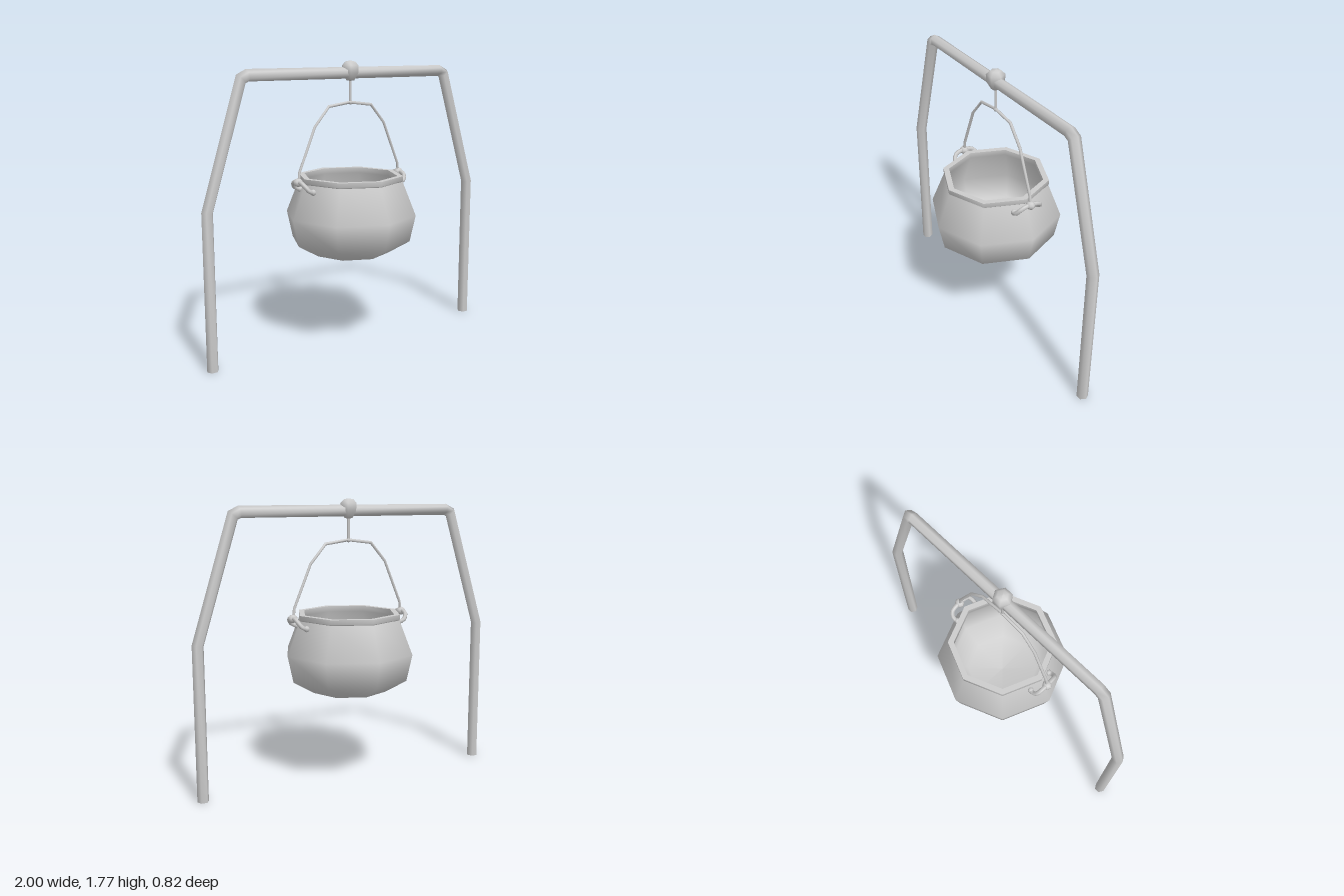
import * as THREE from 'three';

const material = new THREE.MeshStandardMaterial({ color: 0xcccccc, side: THREE.DoubleSide });

function add(parent, name, geometry) {
  const mesh = new THREE.Mesh(geometry, material);
  mesh.name = name;
  parent.add(mesh);
  return mesh;
}

const lathe = (profile, sides, start = 0) =>
  new THREE.LatheGeometry(profile.map(([r, y]) => new THREE.Vector2(r, y)), sides, start);

// Sweep a regular polygon along a path in the xy plane, mitred at each bend
function bentBar(path, radius, sides) {
  const pts = path.map(([x, y]) => new THREE.Vector2(x, y));
  const positions = [], index = [];
  pts.forEach((p, i) => {
    const into = p.clone().sub(pts[Math.max(i - 1, 0)]).normalize();
    const out = pts[Math.min(i + 1, pts.length - 1)].clone().sub(p).normalize();
    const t = into.clone().add(out).normalize();
    const miter = radius / t.dot(i ? into : out);
    for (let j = 0; j < sides; j++) {
      const a = (j / sides) * Math.PI * 2;
      const c = Math.cos(a) * miter;
      positions.push(p.x - t.y * c, p.y + t.x * c, Math.sin(a) * radius);
      if (i < pts.length - 1) {
        const a0 = i * sides + j, a1 = i * sides + (j + 1) % sides;
        index.push(a0, a1, a0 + sides, a1, a1 + sides, a0 + sides);
      }
    }
  });
  const g = new THREE.BufferGeometry();
  g.setAttribute('position', new THREE.Float32BufferAttribute(positions, 3));
  g.setIndex(index);
  g.computeVertexNormals();
  return g;
}

// Complete a left-to-right symmetric path from its left half
const mirrored = (half) => [...half, ...half.map(([x, y]) => [-x, y]).reverse()];

export function createModel() {
  const model = new THREE.Group();
  model.name = 'hangingCauldron';

  // Stand: two legs and crossbar in one bent hexagonal bar
  add(model, 'standFrame', bentBar(
    mirrored([[-0.965, 0], [-0.965, 0.94], [-0.735, 1.675], [-0.695, 1.695]]), 0.035, 6));

  // Hanger: knob over the crossbar and a thin rod
  add(model, 'hangerKnob', lathe(
    [[0, 1.645], [0.028, 1.65], [0.054, 1.695], [0.056, 1.74], [0.032, 1.762], [0, 1.768]], 6, Math.PI / 2));
  const rod = add(model, 'hangerRod', new THREE.CylinderGeometry(0.008, 0.008, 0.14, 6));
  rod.position.y = 1.585;
  const joint = add(model, 'hangerJoint', new THREE.SphereGeometry(0.013, 6, 4));
  joint.position.y = 1.515;

  // Bail handle
  add(model, 'bailHandle', bentBar(
    mirrored([[-0.372, 1.05], [-0.365, 1.115], [-0.255, 1.38], [-0.155, 1.497], [0, 1.517]].slice(0, 4)
      .concat([[-0.005, 1.517]])), 0.009, 6));

  // Cauldron: separate shells keep the rim and base edges crisp
  const cauldron = new THREE.Group();
  cauldron.name = 'cauldron';
  model.add(cauldron);
  add(cauldron, 'base', lathe([[0, 0.552], [0.24, 0.58]], 8));
  add(cauldron, 'body', lathe([[0.24, 0.58], [0.376, 0.66], [0.412, 0.825], [0.328, 1.035]], 8));
  add(cauldron, 'rimSide', lathe([[0.322, 1.035], [0.331, 1.042], [0.331, 1.07]], 8));
  add(cauldron, 'rimTop', lathe([[0.331, 1.07], [0.295, 1.07]], 8));
  add(cauldron, 'inside', lathe(
    [[0.295, 1.07], [0.295, 1.035], [0.38, 0.825], [0.345, 0.68], [0.225, 0.605], [0, 0.58]], 8));

  // Ears: a curved loop on each side, its feet on the body, with a knot for the handle
  for (const side of [1, -1]) {
    const ear = new THREE.Group();
    ear.name = side > 0 ? 'leftEar' : 'rightEar';
    const half = [[0.312, 1.0, 0.078], [0.345, 1.008, 0.084], [0.37, 1.04, 0.068], [0.375, 1.055, 0.035]];
    const path = [...half, ...half.map(([x, y, z]) => [x, y, -z]).reverse()]
      .map(([x, y, z]) => new THREE.Vector3(x * side, y, z));
    add(ear, 'earLoop', new THREE.TubeGeometry(new THREE.CatmullRomCurve3(path), 14, 0.014, 6));
    for (const z of [0.078, -0.078]) {
      const foot = add(ear, 'earFoot', new THREE.SphereGeometry(0.019, 6, 5));
      foot.position.set(0.318 * side, 1.0, z);
    }
    const knot = add(ear, 'handleKnot', new THREE.SphereGeometry(0.031, 8, 5));
    knot.scale.set(1, 0.85, 0.9);
    knot.position.set(0.375 * side, 1.055, 0);
    model.add(ear);
  }
  return model;
}
